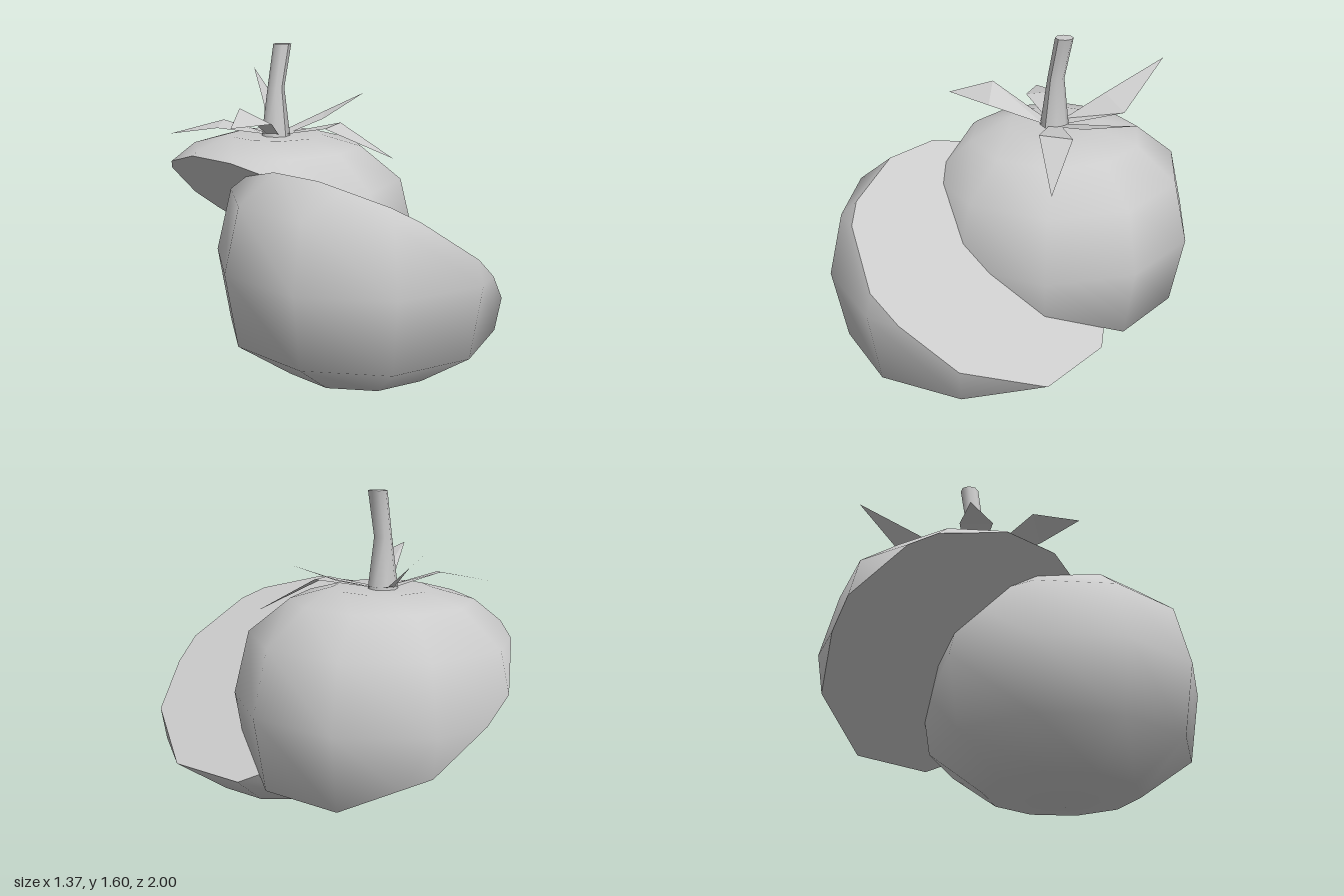
import * as THREE from 'three';

const material = new THREE.MeshStandardMaterial({ color: 0xcccccc });
const leafMaterial = new THREE.MeshStandardMaterial({ color: 0xcccccc, side: THREE.DoubleSide, flatShading: true });

// Slanted knife cut through the fruit, parallel to z
const cutNormal = new THREE.Vector3(0.762, 1, 0).normalize();
const cutPoint = new THREE.Vector3(0, 0.725, 0);

function addMesh(parent, geometry, name, mat = material) {
  const mesh = new THREE.Mesh(geometry, mat);
  mesh.name = name;
  parent.add(mesh);
  return mesh;
}

function makeGeometry(positions, normals) {
  const g = new THREE.BufferGeometry();
  g.setAttribute('position', new THREE.Float32BufferAttribute(positions, 3));
  if (normals) g.setAttribute('normal', new THREE.Float32BufferAttribute(normals, 3));
  else g.computeVertexNormals();
  return g;
}

// Whole fruit: ten-sided squat body
function fruitGeometry() {
  const profile = [[0, 0], [0.39, 0.06], [0.66, 0.25], [0.72, 0.61], [0.645, 0.92],
    [0.44, 1.085], [0.24, 1.14], [0, 1.13]].map(([r, y]) => new THREE.Vector2(r, y));
  return new THREE.LatheGeometry(profile, 10).toNonIndexed();
}

// Keeps the part of the geometry on one side of the cut and closes it with a flat face
function sliceHalf(geometry, side) {
  const pos = geometry.attributes.position, nor = geometry.attributes.normal;
  const positions = [], normals = [], rim = [];
  const push = (p, n) => { positions.push(...p); normals.push(...n); };

  for (let i = 0; i < pos.count; i += 3) {
    const corners = [0, 1, 2].map(k => {
      const p = new THREE.Vector3().fromBufferAttribute(pos, i + k);
      const n = new THREE.Vector3().fromBufferAttribute(nor, i + k);
      return { p, n, d: side * p.clone().sub(cutPoint).dot(cutNormal) };
    });
    const kept = [];
    corners.forEach((a, k) => {
      const b = corners[(k + 1) % 3];
      if (a.d >= 0) kept.push(a);
      if ((a.d >= 0) !== (b.d >= 0)) {
        const t = a.d / (a.d - b.d);
        const c = { p: a.p.clone().lerp(b.p, t), n: a.n.clone().lerp(b.n, t).normalize() };
        kept.push(c);
        rim.push(c.p);
      }
    });
    for (let k = 1; k + 1 < kept.length; k++) {
      for (const v of [kept[0], kept[k], kept[k + 1]]) push(v.p, v.n);
    }
  }

  // Flat cut face as a fan around the middle of the rim
  const faceNormal = cutNormal.clone().multiplyScalar(-side);
  const v = new THREE.Vector3(0, 0, 1), u = new THREE.Vector3().crossVectors(v, faceNormal);
  const angle = p => Math.atan2(p.clone().sub(cutPoint).dot(v), p.clone().sub(cutPoint).dot(u));
  rim.sort((a, b) => angle(a) - angle(b));
  rim.forEach((p, k) => {
    for (const q of [cutPoint, p, rim[(k + 1) % rim.length]]) push(q, faceNormal);
  });
  return makeGeometry(positions, normals);
}

// Tapering stem with a kink halfway up
function stemGeometry() {
  const g = new THREE.CylinderGeometry(1, 1, 2, 8, 2);
  const rings = [[0.075, -0.007, 1.12], [0.043, -0.003, 1.38], [0.046, 0.045, 1.6]];
  const p = g.attributes.position;
  for (let i = 0; i < p.count; i++) {
    const [r, x, y] = rings[Math.round(p.getY(i)) + 1];
    p.setXYZ(i, x + r * p.getX(i), y, r * p.getZ(i));
  }
  g.computeVertexNormals();
  return g;
}

// Pointed leaf: narrow base, two side corners and a tip
function leafGeometry(sideA, sideB, tip) {
  const out = new THREE.Vector3(tip[0], 0, tip[2]).normalize();
  const base = s => [out.x * 0.06 - s * out.z * 0.035, 1.145, out.z * 0.06 + s * out.x * 0.035];
  const a = base(1), b = base(-1);
  return makeGeometry([a, b, sideA, b, sideB, sideA, sideA, sideB, tip].flat());
}

export function createModel() {
  const model = new THREE.Group();
  model.name = 'slicedTomato';

  const fruit = fruitGeometry();
  const lower = addMesh(model, sliceHalf(fruit, -1), 'lowerHalf');
  lower.position.z = 0.28;

  const upper = new THREE.Group();
  upper.name = 'upperPart';
  upper.position.z = -0.31;
  model.add(upper);
  addMesh(upper, sliceHalf(fruit, 1), 'upperHalf');
  addMesh(upper, stemGeometry(), 'stem');

  // Side corners and tip of each leaf, relative to the stem
  const leaves = [
    [[0.27, 1.2, -0.22], [0.13, 1.27, -0.24], [0.3, 1.43, -0.5]],
    [[0.25, 1.2, 0.09], [0.38, 1.22, -0.02], [0.59, 1.31, 0.08]],
    [[0.1, 1.18, 0.25], [0.27, 1.19, 0.2], [0.37, 1.02, 0.48]],
    [[-0.34, 1.315, 0.1], [-0.25, 1.24, 0.23], [-0.52, 1.25, 0.24]],
    [[-0.17, 1.21, -0.22], [-0.3, 1.19, -0.12], [-0.42, 1.15, -0.35]],
  ];
  leaves.forEach((leaf, i) => addMesh(upper, leafGeometry(...leaf), `leaf${i + 1}`, leafMaterial));
  return model;
}
